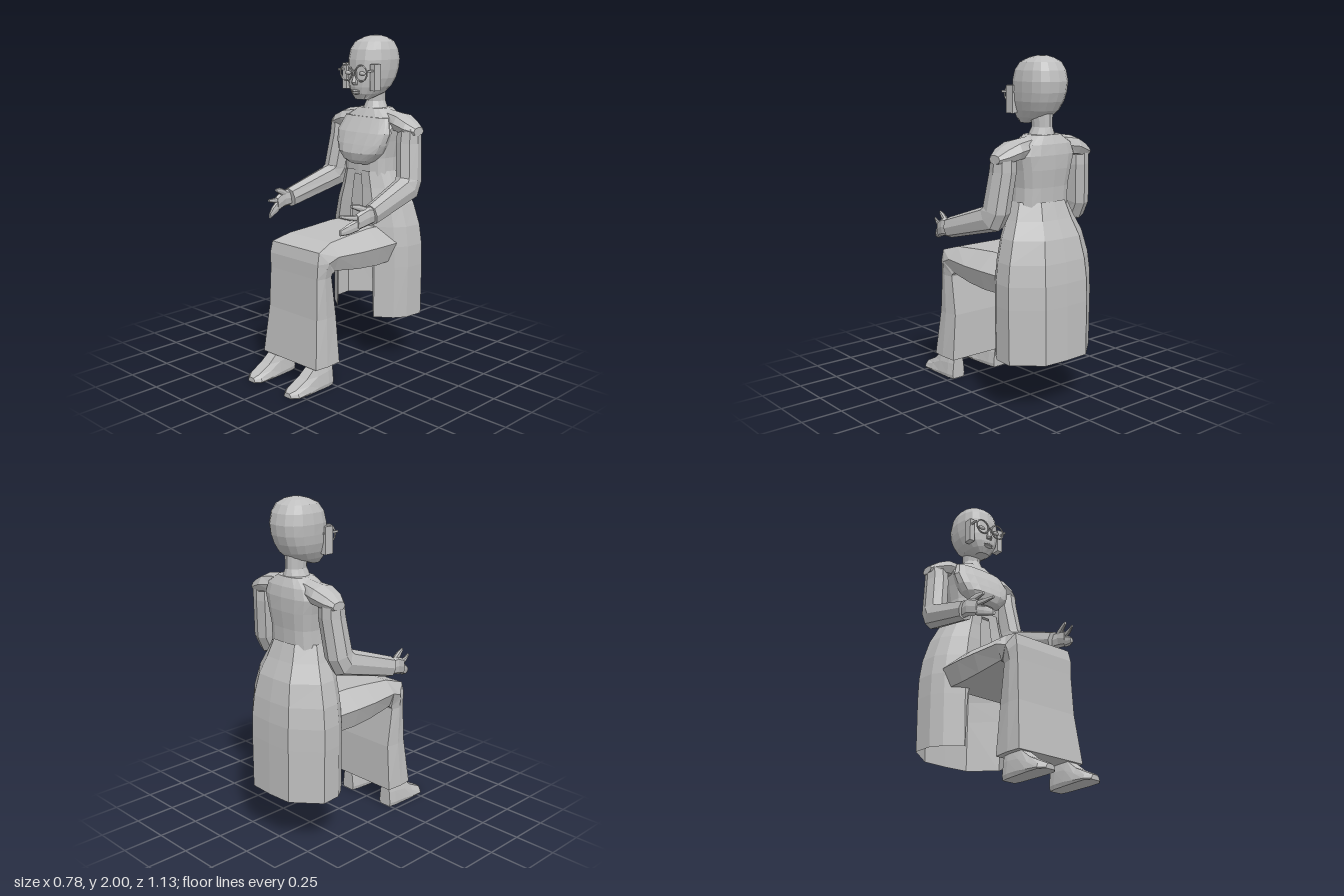
import * as THREE from 'three';

const grey = new THREE.MeshStandardMaterial({ color: 0xbfbfbf, side: THREE.DoubleSide });
grey.name = 'plain grey';

// Ring of points round c, spanned by u and v; p below 1 makes it boxier.
function ring(c, u, v, n = 8, p = 1) {
  const pow = (a) => Math.sign(a) * Math.abs(a) ** p;
  return Array.from({ length: n }, (_, i) => {
    const t = (i / n) * Math.PI * 2;
    const s = pow(Math.sin(t)), k = pow(Math.cos(t));
    return c.map((q, j) => q + u[j] * s + v[j] * k);
  });
}

// Horizontal ring from its height, half width, front z and back z.
const level = (n, p) => ([y, hx, zf, zb]) =>
  ring([0, y, (zf + zb) / 2], [hx, 0, 0], [0, 0, (zf - zb) / 2], n, p);

// Faceted skin over a row of rings; side -1 mirrors it in x.
function loft(name, rings, { closed = true, caps = true, side = 1 } = {}) {
  const pos = [];
  const R = rings.map((r) => {
    const m = r.map(([x, y, z]) => [x * side, y, z]);
    return side < 0 ? m.reverse() : m;
  });
  const tri = (a, b, c) => pos.push(...a, ...b, ...c);
  const n = R[0].length;
  for (let k = 0; k < R.length - 1; k++) {
    for (let i = 0; i < (closed ? n : n - 1); i++) {
      const j = (i + 1) % n;
      tri(R[k][i], R[k][j], R[k + 1][j]);
      tri(R[k][i], R[k + 1][j], R[k + 1][i]);
    }
  }
  if (closed && caps) {
    const a = R[0], b = R[R.length - 1];
    for (let i = 1; i < n - 1; i++) {
      tri(a[0], a[i + 1], a[i]);
      tri(b[0], b[i], b[i + 1]);
    }
  }
  const g = new THREE.BufferGeometry();
  g.setAttribute('position', new THREE.Float32BufferAttribute(pos, 3));
  g.computeVertexNormals();
  return mesh(name, g);
}

function mesh(name, geometry, x = 0, y = 0, z = 0) {
  const m = new THREE.Mesh(geometry, grey);
  m.name = name;
  m.position.set(x, y, z);
  return m;
}

const box = (name, w, h, d, x, y, z) => mesh(name, new THREE.BoxGeometry(w, h, d), x, y, z);

// Limb ring: centre, half width in x, half depth, direction of depth in (y, z).
const limb = ([x, y, z, hx, hd, dy, dz]) => ring([x, y, z], [-hx, 0, 0], [0, dy * hd, dz * hd], 8, 0.85);

export function createModel() {
  const model = new THREE.Group();
  model.name = 'seatedWoman';

  // Head and neck
  model.add(loft('head', [
    [1.625, 0.045, -0.18, -0.25], [1.66, 0.08, -0.158, -0.37], [1.7, 0.104, -0.15, -0.42],
    [1.75, 0.121, -0.15, -0.45], [1.8, 0.128, -0.155, -0.468], [1.86, 0.132, -0.158, -0.475],
    [1.92, 0.123, -0.172, -0.462], [1.965, 0.102, -0.205, -0.435],
    [1.99, 0.062, -0.26, -0.39], [2.0, 0.025, -0.3, -0.36],
  ].map(level(16, 0.8))));
  model.add(loft('neck', [
    [1.52, 0.11, -0.23, -0.42], [1.57, 0.075, -0.255, -0.41],
    [1.61, 0.055, -0.27, -0.4], [1.7, 0.06, -0.26, -0.4],
  ].map(level(12, 1))));

  // Face: nose and lips
  model.add(loft('nose', [
    [1.715, 0.02, -0.135, -0.18], [1.73, 0.02, -0.122, -0.18], [1.8, 0.008, -0.147, -0.18],
  ].map(level(6, 1))));
  for (const y of [1.665, 1.678]) {
    const lip = mesh('lip', new THREE.SphereGeometry(1, 8, 6), 0, y, -0.155);
    lip.scale.set(0.034, 0.008, 0.012);
    model.add(lip);
  }

  // Torso and bust
  model.add(loft('torso', [
    [1.17, 0.17, -0.185, -0.43], [1.28, 0.168, -0.185, -0.435], [1.38, 0.185, -0.18, -0.448],
    [1.46, 0.205, -0.195, -0.45], [1.52, 0.18, -0.225, -0.44], [1.57, 0.1, -0.255, -0.415],
  ].map(level(16, 0.7))));
  model.add(loft('bust', [
    [1.24, 0.08, -0.155, -0.3], [1.265, 0.12, -0.13, -0.3], [1.31, 0.16, -0.118, -0.3],
    [1.36, 0.185, -0.135, -0.3], [1.43, 0.205, -0.165, -0.3], [1.52, 0.17, -0.22, -0.3],
  ].map(level(16, 0.8))));

  // Long coat, open down the front: height, half width, front z, back z, edge x
  const coat = [
    [0.3, 0.31, -0.16, -0.565, 0.15], [0.62, 0.315, -0.16, -0.562, 0.14],
    [0.75, 0.313, -0.16, -0.558, 0.1], [0.87, 0.298, -0.165, -0.545, 0.05],
    [1.0, 0.262, -0.17, -0.518, 0.042], [1.1, 0.215, -0.178, -0.473, 0.035],
    [1.2, 0.175, -0.18, -0.437, 0.02],
  ].map(([y, hx, zf, zb, edge]) => {
    const half = [[edge / hx, 0], [0.5, 0], [0.82, 0.18], [0.97, 0.35], [1, 0.65], [0.5, 0.98]]
      .map(([a, b]) => [a * hx, y, zf + (zb - zf) * b]);
    return [...half, [0, y, zb], ...half.map(([x, h, z]) => [-x, h, z]).reverse()];
  });
  model.add(loft('coatSkirt', coat, { closed: false }));
  model.add(box('coatLining', 0.16, 0.4, 0.02, 0, 1.0, -0.22));

  // Lap and shins in one garment: y, z, half width, half depth, direction, top and bottom share
  model.add(loft('trousers', [
    [0.765, -0.24, 0.265, 0.105, 1, 0, 0.6, 0.85], [0.765, -0.1, 0.267, 0.108, 1, 0, 0.6, 0.85],
    [0.765, 0.05, 0.26, 0.098, 1, 0, 0.62, 0.85], [0.77, 0.23, 0.24, 0.08, 1, 0, 0.72, 0.85],
    [0.745, 0.293, 0.232, 0.088, 0.8, 0.6, 0.85, 0.9], [0.715, 0.303, 0.224, 0.066, 0.5, 0.87, 0.9, 0.92],
    [0.66, 0.308, 0.214, 0.054, 0, 1, 0.92, 0.95], [0.42, 0.296, 0.215, 0.076, 0, 1, 0.94, 0.95],
    [0.135, 0.308, 0.235, 0.094, 0, 1, 0.96, 0.97],
  ].map(([y, z, hx, hd, dy, dz, k, b]) =>
    [[0, 1], [k, 1], [1, 0.1], [b, -1], [0, -1], [-b, -1], [-1, 0.1], [-k, 1]]
      .map(([s, t]) => [-s * hx, y + t * hd * dy, z + t * hd * dz]))));

  // Glasses
  const glasses = new THREE.Group();
  glasses.name = 'glasses';
  glasses.add(box('bridge', 0.024, 0.01, 0.01, 0, 1.795, -0.137));
  model.add(glasses);

  for (const side of [1, -1]) {
    const part = (name, rings) => model.add(loft(name, rings, { side }));

    // Lens rims, temples and side panels
    glasses.add(mesh('lensRim', new THREE.TorusGeometry(0.047, 0.005, 6, 16), side * 0.06, 1.785, -0.137));
    glasses.add(box('temple', 0.008, 0.012, 0.11, side * 0.118, 1.8, -0.185));
    model.add(box('sidePanel', 0.035, 0.155, 0.055, side * 0.113, 1.76, -0.205));
    const eye = mesh('eye', new THREE.SphereGeometry(1, 8, 6), side * 0.058, 1.783, -0.15);
    eye.scale.set(0.026, 0.012, 0.012);
    model.add(eye);

    // Shoulder: x, middle y, middle z, half height, half depth
    part('shoulder', [
      [0.06, 1.515, -0.34, 0.055, 0.07], [0.14, 1.5, -0.34, 0.06, 0.07], [0.22, 1.49, -0.337, 0.058, 0.09],
      [0.29, 1.465, -0.33, 0.048, 0.075], [0.342, 1.45, -0.335, 0.025, 0.045],
    ].map(([x, y, z, hy, hz]) => ring([x, y, z], [0, 0, hz], [0, hy, 0], 8, 0.85)));

    // Sleeve from shoulder to wrist
    part('arm', [
      [0.275, 1.465, -0.33, 0.066, 0.068, 0, 1], [0.275, 1.38, -0.325, 0.07, 0.074, 0, 1],
      [0.3, 1.165, -0.3, 0.07, 0.078, 0.25, 0.97], [0.307, 1.115, -0.27, 0.068, 0.085, 0.75, 0.66],
      [0.34, 1.015, 0.075, 0.05, 0.06, 0.98, 0.2],
    ].map(limb));

    // Hand
    part('palm', [
      [0.345, 1.015, 0.05, 0.025, 0.045, 1, 0], [0.35, 1.015, 0.12, 0.026, 0.055, 1, 0],
      [0.335, 0.99, 0.19, 0.021, 0.048, 1, 0],
    ].map(limb));
    part('fingers', [
      [0.337, 0.975, 0.18, 0.018, 0.036, 1, 0], [0.318, 0.955, 0.235, 0.014, 0.031, 1, 0],
      [0.295, 0.938, 0.278, 0.009, 0.018, 1, 0],
    ].map(limb));
    part('indexFinger', [
      [0.337, 1.015, 0.18, 0.014, 0.018, 1, 0], [0.32, 1.022, 0.235, 0.011, 0.013, 1, 0],
      [0.3, 1.032, 0.28, 0.007, 0.008, 1, 0],
    ].map(limb));
    part('thumb', [
      [0.345, 1.045, 0.11, 0.017, 0.024, 1, 0], [0.33, 1.07, 0.165, 0.014, 0.02, 1, 0],
      [0.315, 1.082, 0.208, 0.008, 0.01, 1, 0],
    ].map(limb));

    // Foot: z, middle x, half width, top height
    part('foot', [
      [0.245, 0.165, 0.045, 0.16], [0.29, 0.165, 0.055, 0.16], [0.375, 0.163, 0.06, 0.145],
      [0.45, 0.162, 0.064, 0.085], [0.53, 0.16, 0.062, 0.045], [0.563, 0.157, 0.03, 0.028],
    ].map(([z, x, hx, h]) =>
      [[0, 1], [0.55, 1], [0.85, 0.6], [1, 0.15], [0.9, 0], [-0.9, 0], [-1, 0.15], [-0.85, 0.6], [-0.55, 1]]
        .map(([s, t]) => [x - s * hx, t * h, z])));
  }
  return model;
}
